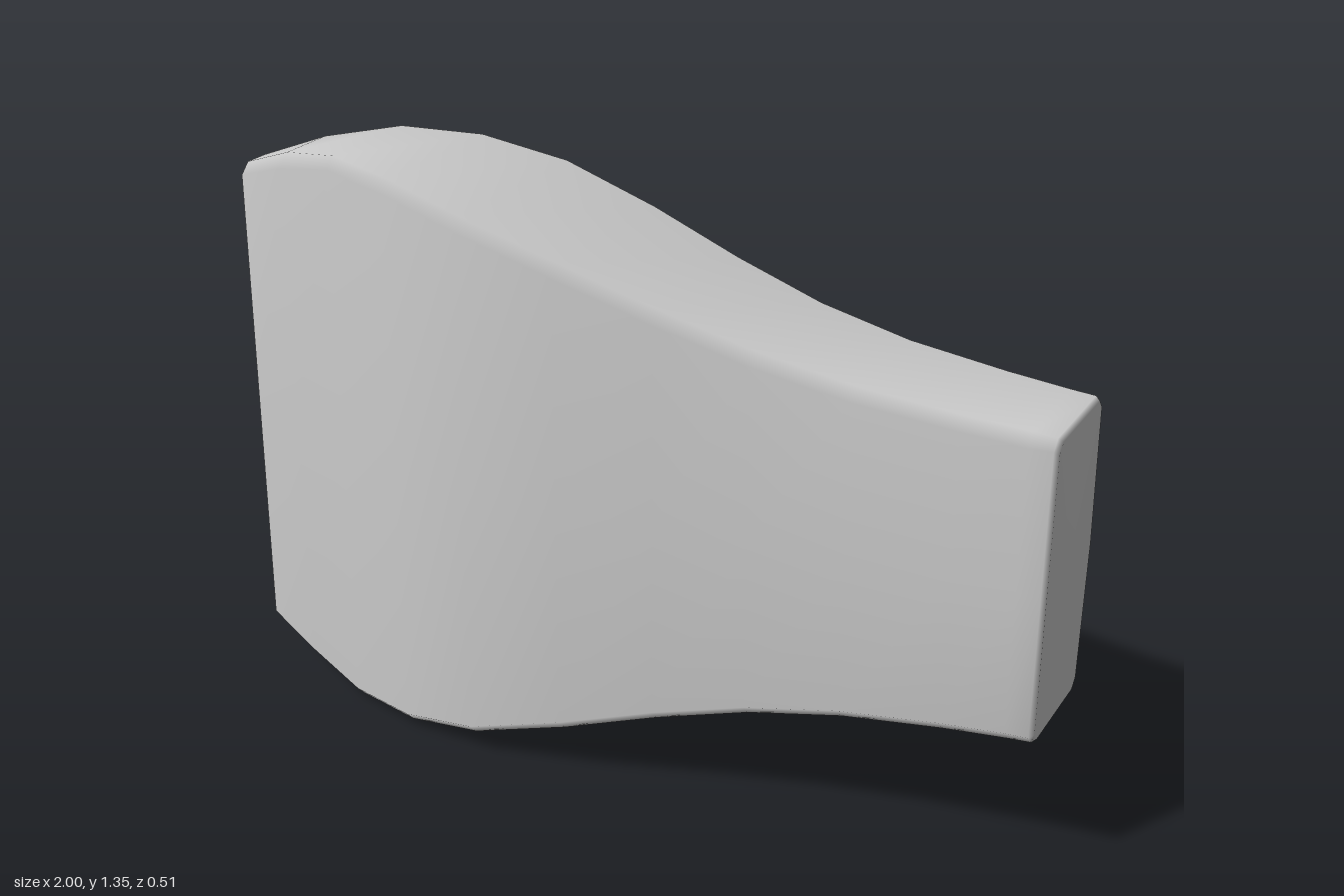
import * as THREE from 'three';

// Stations along the body: x, half height, front z, back z, edge bevel, mid-height bulge of the back
const STATIONS = [
  [-1.0, 0.575, 0.035, -0.04, 0.02, 0],
  [-0.985, 0.592, 0.055, -0.06, 0.025, 0],
  [-0.84, 0.645, 0.1, -0.107, 0.03, 0],
  [-0.67, 0.677, 0.158, -0.165, 0.026, 0],
  [-0.49, 0.667, 0.215, -0.222, 0.026, 0],
  [-0.29, 0.625, 0.25, -0.257, 0.026, 0],
  [-0.06, 0.555, 0.236, -0.245, 0.026, 0],
  [0.16, 0.482, 0.206, -0.217, 0.026, 0],
  [0.37, 0.422, 0.181, -0.193, 0.026, 0],
  [0.58, 0.381, 0.161, -0.178, 0.026, 0],
  [0.8, 0.357, 0.143, -0.168, 0.026, 0.004],
  [0.94, 0.347, 0.132, -0.16, 0.026, 0.01],
  [0.99, 0.343, 0.127, -0.157, 0.022, 0.014],
  [1.0, 0.335, 0.119, -0.15, 0.02, 0.015],
];
const MID_Y = 0.68;

// Bevelled rectangle as [z, y] corners, counter-clockwise seen from +x
function section([, h, front, back, b, bulge]) {
  return [
    [back - bulge, 0], [back, h - b], [back + b, h],
    [front - b, h], [front, h - b], [front, 0], [front, b - h],
    [front - b, -h], [back + b, -h], [back, b - h],
  ];
}

// Smooth skin through all sections, closed by a fan at each end
function loft(stations) {
  const positions = [], index = [];
  const n = section(stations[0]).length;
  for (const s of stations) {
    for (const [z, y] of section(s)) positions.push(s[0], MID_Y + y, z);
  }
  for (let i = 0; i < stations.length - 1; i++) {
    for (let j = 0; j < n; j++) {
      const a = i * n + j, b = i * n + (j + 1) % n;
      index.push(a, b, a + n, b, b + n, a + n);
    }
  }
  const last = (stations.length - 1) * n;
  const centre = stations.length * n;
  for (const s of [stations[0], stations[stations.length - 1]]) {
    positions.push(s[0], MID_Y, (s[2] + s[3]) / 2);
  }
  for (let j = 0; j < n; j++) {
    const k = (j + 1) % n;
    index.push(centre, k, j, centre + 1, last + j, last + k);
  }
  const geometry = new THREE.BufferGeometry();
  geometry.setAttribute('position', new THREE.Float32BufferAttribute(positions, 3));
  geometry.setIndex(index);
  geometry.computeVertexNormals();
  return geometry;
}

export function createModel() {
  const model = new THREE.Group();
  model.name = 'taperedBlade';
  const material = new THREE.MeshStandardMaterial({ color: 0xcccccc });
  const body = new THREE.Mesh(loft(STATIONS), material);
  body.name = 'bladeBody';
  model.add(body);
  return model;
}
